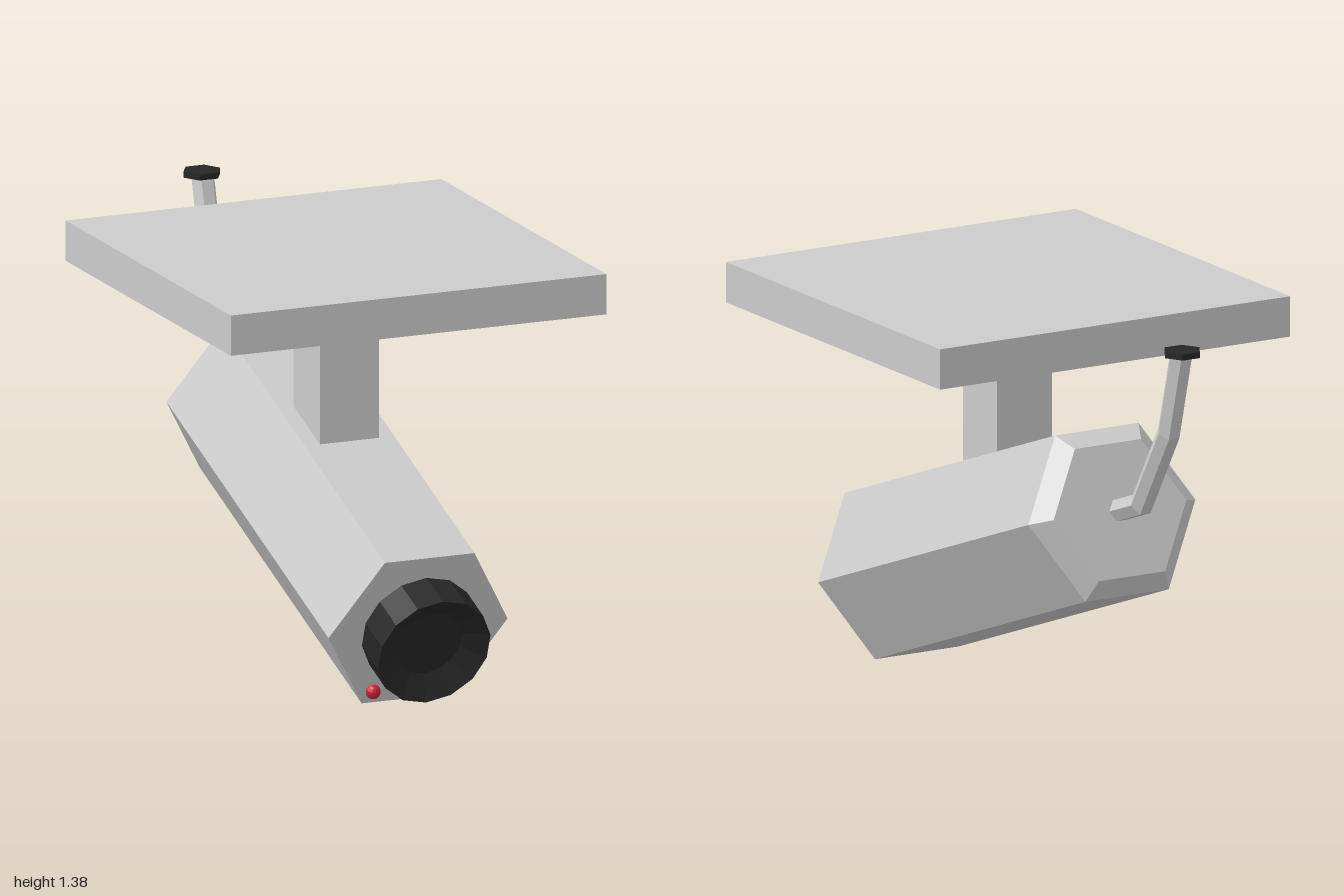
import * as THREE from 'three';

const grey = new THREE.MeshStandardMaterial({ color: 0xcccccc, flatShading: true });
const black = new THREE.MeshStandardMaterial({ color: 0x262626, flatShading: true });
const red = new THREE.MeshStandardMaterial({ color: 0xcc2233, flatShading: true });

function add(parent, name, geometry, material, x = 0, y = 0, z = 0) {
  const mesh = new THREE.Mesh(geometry, material);
  mesh.name = name;
  mesh.position.set(x, y, z);
  parent.add(mesh);
  return mesh;
}

// Faceted solid of revolution about z; profile runs [radius, z] from back to front
function turned(profile, sides, spin = 0) {
  return new THREE.LatheGeometry(profile.map(([r, z]) => new THREE.Vector2(r, z)), sides)
    .rotateY(spin).rotateX(Math.PI / 2);
}

// Hexagonal pipe with mitred bends along [z, y] points in the plane x = 0
function bentPipe(path, radius) {
  const pts = path.map(([z, y]) => new THREE.Vector2(z, y));
  const positions = [], index = [], n = 6;
  pts.forEach((p, i) => {
    const next = pts[Math.min(i + 1, pts.length - 1)].clone();
    const a = p.clone().sub(pts[Math.max(i - 1, 0)]).normalize();
    const b = next.sub(p).normalize();
    const dir = a.clone().add(b).normalize();
    const stretch = 1 / dir.dot(i === 0 ? b : a);
    for (let k = 0; k < n; k++) {
      const t = (k / n) * Math.PI * 2;
      const s = Math.sin(t) * radius * stretch;
      positions.push(Math.cos(t) * radius, p.y - dir.x * s, p.x + dir.y * s);
      if (i > 0) {
        const c = i * n + k, d = i * n + ((k + 1) % n);
        index.push(c - n, c, d, c - n, d, d - n);
      }
    }
  });
  const g = new THREE.BufferGeometry();
  g.setAttribute('position', new THREE.Float32BufferAttribute(positions, 3));
  g.setIndex(index);
  g.computeVertexNormals();
  return g;
}

export function createModel() {
  const model = new THREE.Group();
  model.name = 'securityCamera';

  // Ceiling mount
  add(model, 'mountPlate', new THREE.BoxGeometry(1.33, 0.135, 1.335), grey, 0, 1.311, 0.142);
  add(model, 'mountStem', new THREE.BoxGeometry(0.21, 0.545, 0.212), grey, 0, 0.973, 0.145);

  // Tilted camera; its origin is the centre of the front face
  const camera = new THREE.Group();
  camera.name = 'cameraHead';
  camera.position.set(0, 0.26, 0.805);
  camera.rotation.x = THREE.MathUtils.degToRad(20.1);
  model.add(camera);

  add(camera, 'housing', turned(
    [[0, -1.449], [0.252, -1.449], [0.317, -1.395], [0.317, 0], [0, 0]], 6, Math.PI / 6), grey);
  // Lens barrel with a funnel-shaped recess
  add(camera, 'lens', turned(
    [[0, -0.01], [0.197, -0.01], [0.197, 0.141], [0.117, 0.09], [0, 0.09]], 14), black);
  add(camera, 'indicatorLight', new THREE.SphereGeometry(0.025, 12, 8), red, -0.127, -0.229, 0.005);

  // Cable pipe running from the back of the housing up to the ceiling
  const pipe = bentPipe([[-0.54, 0.753], [-0.69, 0.808], [-0.86, 1.083], [-0.938, 1.37]], 0.04);
  const pipeMaterial = grey.clone();
  pipeMaterial.side = THREE.DoubleSide;
  add(model, 'cablePipe', pipe, pipeMaterial);
  add(model, 'cableCap', new THREE.CylinderGeometry(0.065, 0.065, 0.02, 6).rotateY(Math.PI / 6),
    black, 0, 1.37, -0.943);

  return model;
}
